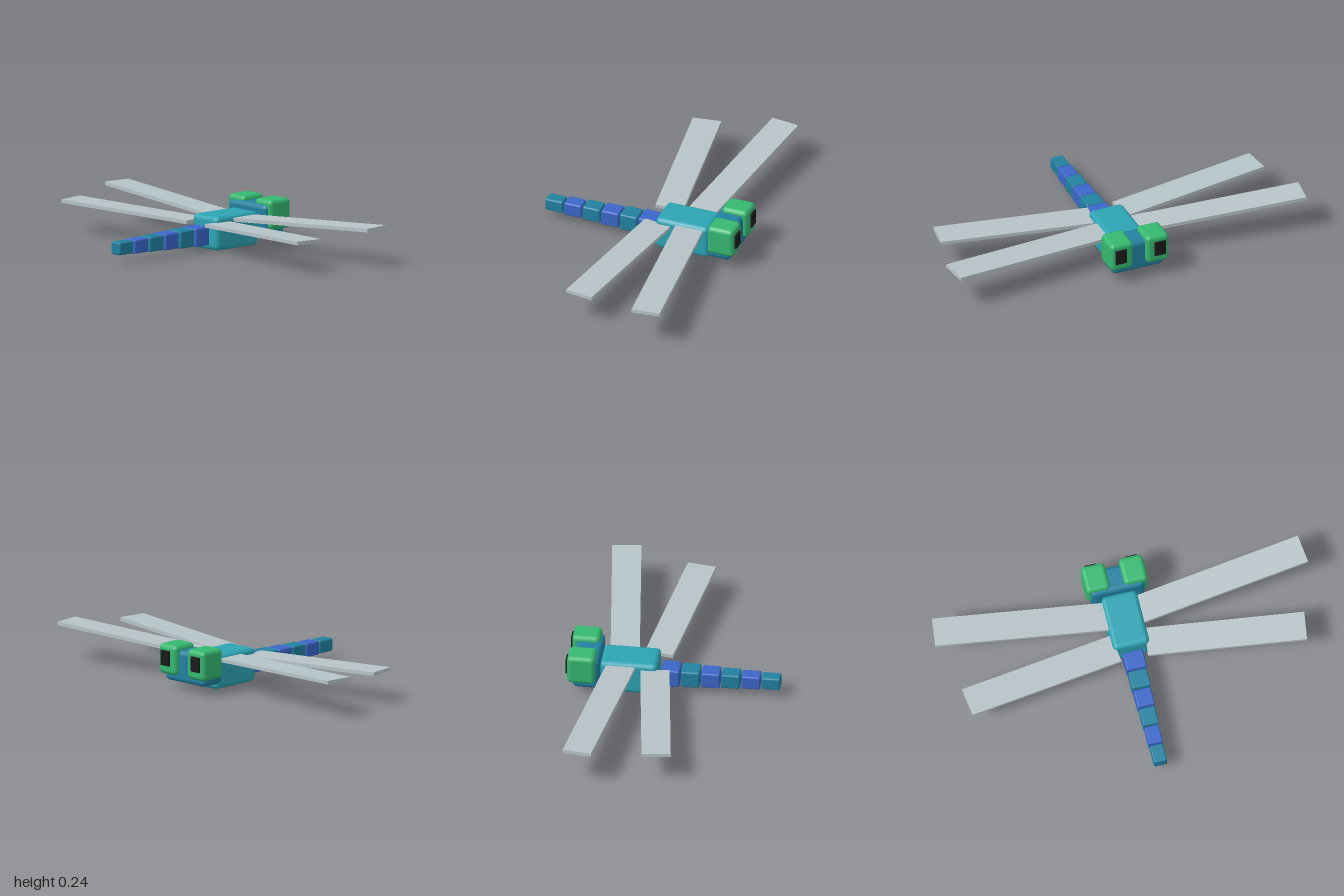
import * as THREE from 'three';
import { RoundedBoxGeometry } from 'three/addons/geometries/RoundedBoxGeometry.js';

const paint = (name, color) => {
  const m = new THREE.MeshStandardMaterial({ color });
  m.name = name;
  return m;
};

export function createModel() {
  const turquoise = paint('turquoise', 0x2ca3b3);
  const teal = paint('teal', 0x2180a0);
  const blue = paint('blue', 0x3b66c8);
  const green = paint('green', 0x35b870);
  const black = paint('black', 0x1a1a1a);
  const wingGrey = paint('wingGrey', 0xb6c3c7);

  const model = new THREE.Group();
  model.name = 'dragonfly';

  const add = (name, geometry, material, x, y, z) => {
    const mesh = new THREE.Mesh(geometry, material);
    mesh.name = name;
    mesh.position.set(x, y, z);
    model.add(mesh);
    return mesh;
  };
  const softBox = (w, h, d, r) => new RoundedBoxGeometry(w, h, d, 2, r);

  // Body
  add('thorax', softBox(0.194, 0.18, 0.3, 0.026), turquoise, 0, 0.09, -0.23);
  add('head', softBox(0.29, 0.172, 0.14, 0.026), teal, 0, 0.129, -0.45);

  // Tapering tail of alternating segments
  for (let i = 0; i < 6; i++) {
    const width = 0.108 - i * 0.0076;
    const height = 0.098 - i * 0.006;
    add(`tailSegment${i + 1}`, softBox(width, height, 0.098, 0.009),
      i % 2 ? teal : blue, 0, 0.08, -0.018 + i * 0.105);
  }

  // Wing from a root centre to a tip centre, mirrored by side
  const addWing = (name, side, root, tip) => {
    const span = tip.clone().sub(root);
    const length = span.length();
    const geometry = new THREE.BoxGeometry(length, 0.019, 0.152);
    geometry.translate(side * length / 2, 0, 0);
    const wing = add(name, geometry, wingGrey, side * root.x, root.y, root.z);
    wing.rotation.order = 'YZX';
    wing.rotation.y = side * Math.atan2(-span.z, span.x);
    wing.rotation.z = side * Math.asin(span.y / length);
  };

  for (const [side, label] of [[1, 'left'], [-1, 'right']]) {
    // Eyes on the head with thin pupils
    add(`${label}Eye`, softBox(0.128, 0.16, 0.148, 0.024), green, side * 0.101, 0.16, -0.471);
    add(`${label}Pupil`, new THREE.BoxGeometry(0.06, 0.08, 0.009), black, side * 0.11, 0.168, -0.5495);

    addWing(`${label}HeadWing`, side,
      new THREE.Vector3(0.04, 0.153, -0.265), new THREE.Vector3(0.987, 0.197, -0.382));
    addWing(`${label}TailWing`, side,
      new THREE.Vector3(0.081, 0.141, -0.093), new THREE.Vector3(0.904, 0.164, 0.023));
  }

  return model;
}
